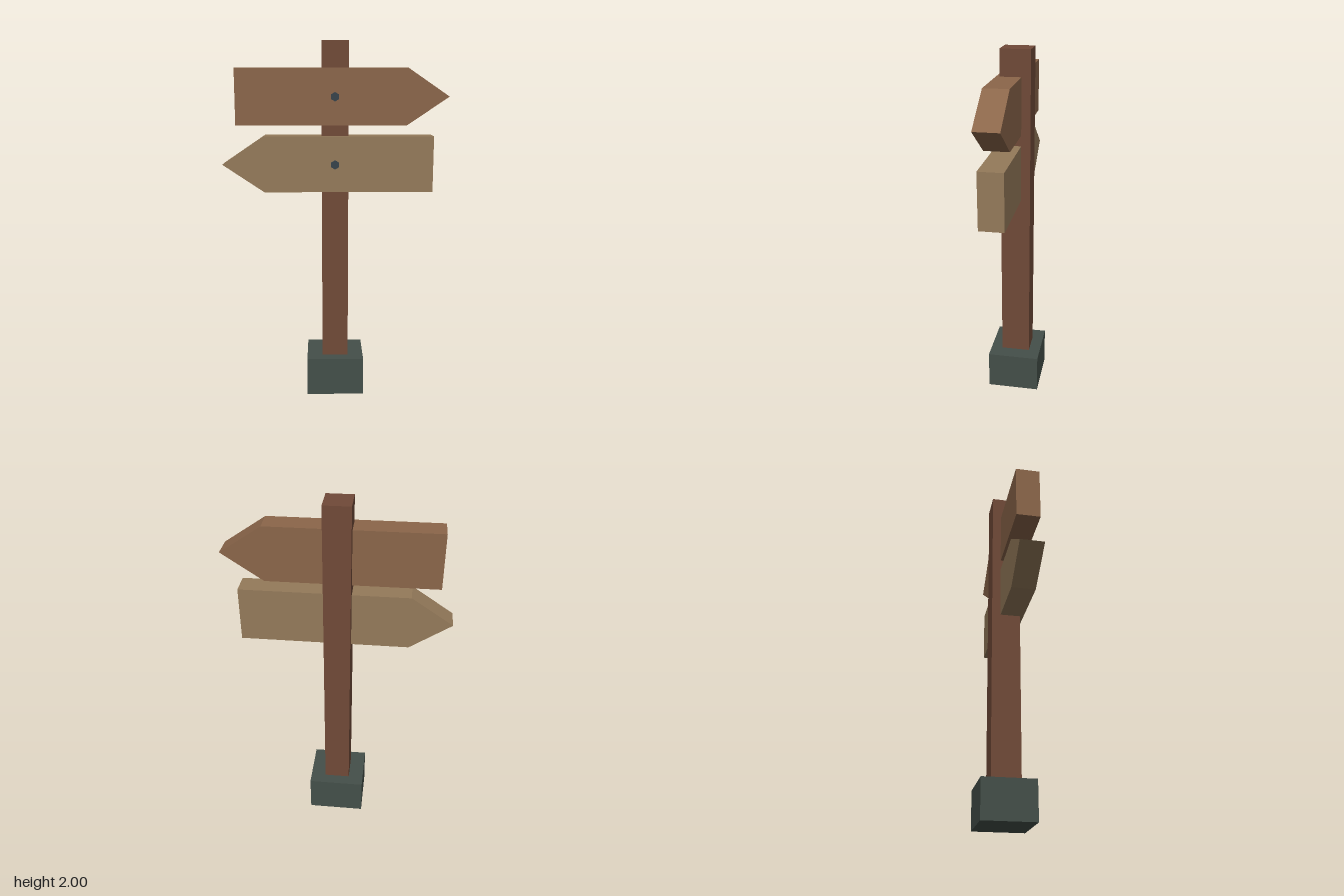
import * as THREE from 'three';

const mat = (color) => new THREE.MeshStandardMaterial({ color, flatShading: true });

function add(parent, name, geometry, material, x, y, z) {
  const mesh = new THREE.Mesh(geometry, material);
  mesh.name = name;
  mesh.position.set(x, y, z);
  parent.add(mesh);
  return mesh;
}

// Plank with one pointed end; dir = 1 points to +x, -1 to -x
function arrowBoard(dir, height, depth) {
  const h = height / 2;
  const points = [[-0.54, -h], [0.39, -h], [0.618, 0], [0.39, h], [-0.54, h]];
  const shape = new THREE.Shape(points.map(([x, y]) => new THREE.Vector2(x * dir, y)));
  return new THREE.ExtrudeGeometry(shape, { depth, bevelEnabled: false });
}

export function createModel() {
  const model = new THREE.Group();
  model.name = 'signpost';

  // Stone foot and square wooden post
  add(model, 'base', new THREE.BoxGeometry(0.322, 0.217, 0.294), mat(0x444f49), 0, 0.1085, -0.002);
  add(model, 'post', new THREE.BoxGeometry(0.147, 1.999, 0.163), mat(0x704a38), 0, 1.0005, -0.002);

  // Two arrow boards facing opposite ways, each with a hexagonal bolt head
  const boltMaterial = mat(0x36424a);
  const boltGeometry = new THREE.CylinderGeometry(0.025, 0.025, 0.008, 6).rotateX(Math.PI / 2);
  const signs = [
    { name: 'upper', dir: 1, y: 1.705, color: 0x8b664a },
    { name: 'lower', dir: -1, y: 1.339, color: 0x947a5a },
  ];
  for (const { name, dir, y, color } of signs) {
    add(model, name + 'Board', arrowBoard(dir, 0.307, 0.134), mat(color), 0, y, -0.034);
    add(model, name + 'Bolt', boltGeometry, boltMaterial, -0.001, y, 0.117);
  }

  return model;
}
